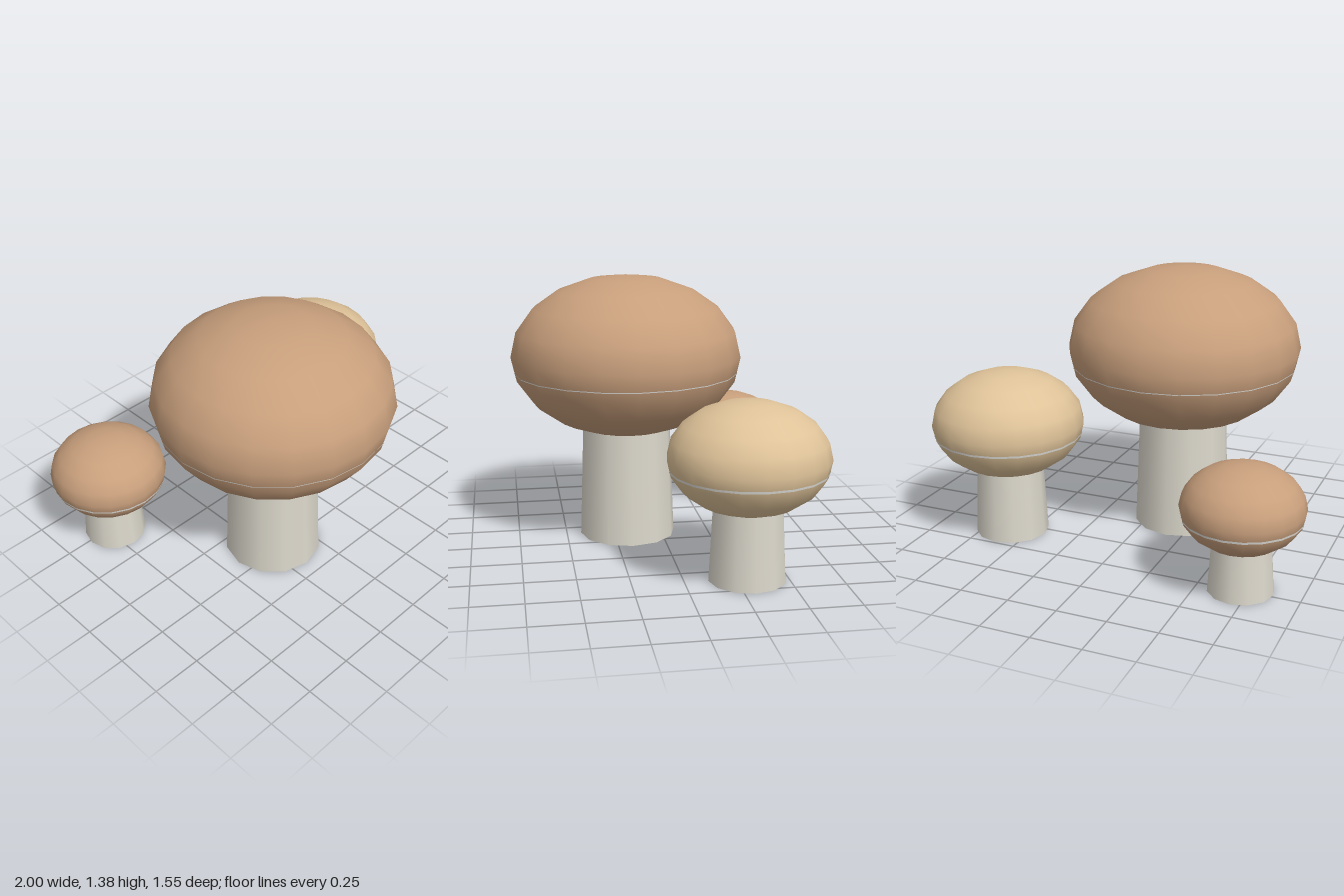
import * as THREE from 'three';

const material = (name, color, side = THREE.FrontSide) => {
  const m = new THREE.MeshStandardMaterial({ color, side });
  m.name = name;
  return m;
};

const CAP_ROWS = 10, CAP_SIDES = 20, STEM_SIDES = 12;

// Radius of the faceted cap at a height dy from its centre
function capRadius(r, ry, dy) {
  const step = Math.PI / CAP_ROWS;
  const a = Math.floor(Math.asin(Math.abs(dy) / ry) / step) * step;
  const y0 = ry * Math.sin(a), y1 = ry * Math.sin(a + step);
  const t = (Math.abs(dy) - y0) / (y1 - y0);
  return r * THREE.MathUtils.lerp(Math.cos(a), Math.cos(a + step), t);
}

function makeMushroom(name, p, capMat, stemMat, bandMat) {
  const g = new THREE.Group();
  g.name = name;
  g.position.set(p.x, 0, p.z);

  // Tapered stem, ending just inside the cap
  const stem = new THREE.Mesh(
    new THREE.CylinderGeometry(p.stemTop, p.stemBottom, p.stemHeight, STEM_SIDES), stemMat);
  stem.position.y = p.stemHeight / 2;
  stem.name = 'stem';

  // Flattened round cap
  const capGeo = new THREE.SphereGeometry(p.capR, CAP_SIDES, CAP_ROWS);
  capGeo.scale(1, p.capH / p.capR, 1);
  const cap = new THREE.Mesh(capGeo, capMat);
  cap.position.y = p.capY;
  cap.name = 'cap';

  // Thin pale line around the lower half of the cap
  const rTop = capRadius(p.capR, p.capH, p.bandY + p.bandH / 2 - p.capY) + 0.002;
  const rBottom = capRadius(p.capR, p.capH, p.bandY - p.bandH / 2 - p.capY) + 0.002;
  const band = new THREE.Mesh(
    new THREE.CylinderGeometry(rTop, rBottom, p.bandH, CAP_SIDES, 1, true), bandMat);
  band.position.y = p.bandY;
  band.name = 'capLine';

  g.add(stem, cap, band);
  return g;
}

export function createModel() {
  const brown = material('brown cap', 0xc89f7c);
  const tan = material('tan cap', 0xdfc399);
  const cream = material('cream stem', 0xdcd8cc);
  const pale = material('pale line', 0xe4e2dc, THREE.DoubleSide);

  const model = new THREE.Group();
  model.name = 'mushrooms';
  model.add(
    makeMushroom('largeMushroom', {
      x: -0.165, z: 0.175, capR: 0.595, capH: 0.415, capY: 0.96, bandY: 0.876, bandH: 0.005,
      stemBottom: 0.25, stemTop: 0.228, stemHeight: 0.62,
    }, brown, cream, pale),
    makeMushroom('mediumMushroom', {
      x: 0.61, z: -0.303, capR: 0.387, capH: 0.27, capY: 0.6, bandY: 0.541, bandH: 0.011,
      stemBottom: 0.188, stemTop: 0.168, stemHeight: 0.4,
    }, tan, cream, pale),
    makeMushroom('smallMushroom', {
      x: -0.705, z: -0.483, capR: 0.296, capH: 0.208, capY: 0.42, bandY: 0.373, bandH: 0.011,
      stemBottom: 0.16, stemTop: 0.142, stemHeight: 0.27,
    }, brown, cream, pale),
  );
  return model;
}
